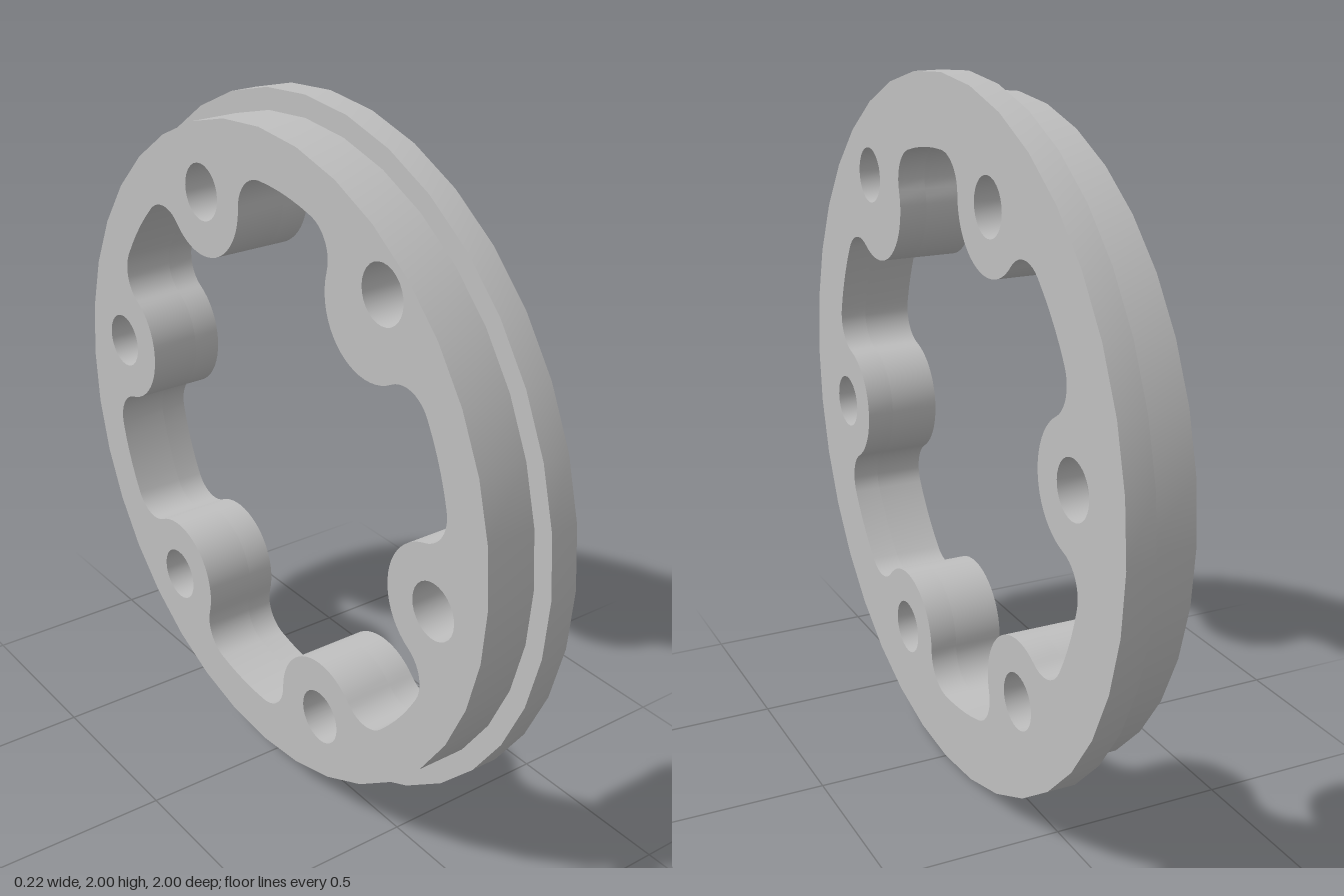
import * as THREE from 'three';
import { toCreasedNormals } from 'three/addons/utils/BufferGeometryUtils.js';

const BOSSES = 6, START = THREE.MathUtils.degToRad(8.2), STEP = Math.PI / 3;
const BOLT_R = 0.752, BOSS_R = 0.18, RING_R = 0.8, FILLET_R = 0.1, HOLE_R = 0.08;

const polar = (r, a) => new THREE.Vector2(r * Math.cos(a), r * Math.sin(a));

// Points along an arc, leaving out its end so arcs can be chained
function arc(c, r, from, to, ccw, n) {
  const turn = Math.PI * 2;
  let sweep = (((to - from) % turn) + turn) % turn;
  if (!ccw) sweep -= turn;
  return Array.from({ length: n }, (_, i) => polar(r, from + sweep * i / n).add(c));
}

// Inner opening: a circle interrupted by six filleted bosses
function openingPoints() {
  const f = RING_R - FILLET_R, reach = BOSS_R + FILLET_R;
  const d = Math.acos((f * f + BOLT_R * BOLT_R - reach * reach) / (2 * f * BOLT_R));
  const origin = new THREE.Vector2();
  const pts = [];
  for (let k = 0; k < BOSSES; k++) {
    const t = START + k * STEP;
    const boss = polar(BOLT_R, t), a = polar(f, t - d), b = polar(f, t + d);
    const angA = Math.atan2(boss.y - a.y, boss.x - a.x);
    const angB = Math.atan2(boss.y - b.y, boss.x - b.x);
    pts.push(
      ...arc(a, FILLET_R, t - d, angA, true, 10),
      ...arc(boss, BOSS_R, angA + Math.PI, angB + Math.PI, false, 20),
      ...arc(b, FILLET_R, angB, t + d, true, 10),
      ...arc(origin, RING_R, t + d, t + STEP - d, true, 5)
    );
  }
  return pts;
}

// Slice of the ring between two x positions
function ringSlice(name, radius, x0, x1, material) {
  const shape = new THREE.Shape(arc(new THREE.Vector2(), radius, 0, Math.PI * 2 - 1e-9, true, 36));
  shape.holes.push(new THREE.Path(openingPoints()));
  for (let k = 0; k < BOSSES; k++) {
    // One bolt hole sits further out than the rest
    const c = polar(k === 2 ? 0.83 : 0.752, START + k * STEP);
    shape.holes.push(new THREE.Path(arc(c, HOLE_R, 0, Math.PI * 2 - 1e-9, true, 28)));
  }
  let geo = new THREE.ExtrudeGeometry(shape, { depth: x1 - x0, bevelEnabled: false });
  geo = toCreasedNormals(geo, 0.6);
  geo.rotateY(Math.PI / 2).translate(x0, 1, 0);
  const mesh = new THREE.Mesh(geo, material);
  mesh.name = name;
  return mesh;
}

export function createModel() {
  const metal = new THREE.MeshStandardMaterial({ color: 0xc0c0c0 });
  metal.name = 'light grey metal';
  const group = new THREE.Group();
  group.name = 'adapterRing';
  group.add(
    ringSlice('flange', 1, 0.03, 0.11, metal),
    ringSlice('hubRing', 0.94, -0.115, 0.03, metal)
  );
  return group;
}
